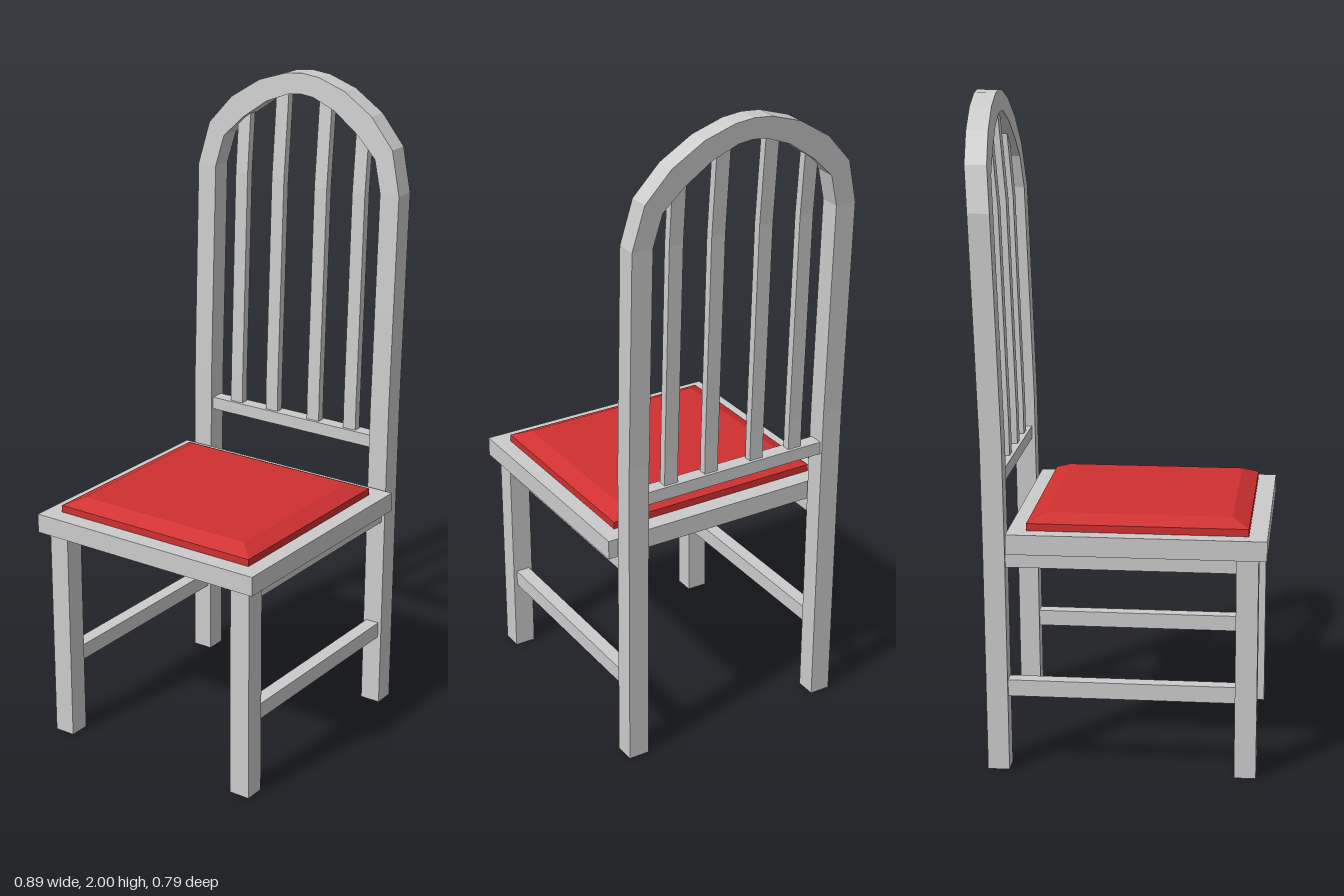
import * as THREE from 'three';

const grey = new THREE.MeshStandardMaterial({ color: 0xcccccc, flatShading: true });
const red = new THREE.MeshStandardMaterial({ color: 0xd03030, flatShading: true });

// backward lean of the backrest: centre x at height y
const LEAN = [[0, 0.347], [0.68, 0.354], [1, 0.359], [1.3, 0.37], [1.66, 0.383], [2, 0.412]];
function lean(y) {
  let i = 0;
  while (i < LEAN.length - 2 && y > LEAN[i + 1][0]) i++;
  const [y0, x0] = LEAN[i], [y1, x1] = LEAN[i + 1];
  return x0 + (x1 - x0) * (y - y0) / (y1 - y0);
}

// skin over four-cornered sections, closed at both ends
function loft(rings) {
  const pos = [];
  const quad = (a, b, c, d) => pos.push(...a, ...b, ...c, ...a, ...c, ...d);
  for (let k = 0; k < rings.length - 1; k++) {
    const a = rings[k], b = rings[k + 1];
    for (let i = 0; i < 4; i++) {
      const j = (i + 1) % 4;
      quad(a[i], a[j], b[j], b[i]);
    }
  }
  const s = rings[0], e = rings[rings.length - 1];
  quad(s[3], s[2], s[1], s[0]);
  quad(e[0], e[1], e[2], e[3]);
  const g = new THREE.BufferGeometry();
  g.setAttribute('position', new THREE.Float32BufferAttribute(pos, 3));
  g.computeVertexNormals();
  return g;
}

export function createModel() {
  const chair = new THREE.Group();
  const add = (name, geometry, material = grey) => {
    const m = new THREE.Mesh(geometry, material);
    m.name = name;
    chair.add(m);
  };
  const box = (name, x0, x1, y0, y1, z0, z1) => add(name,
    new THREE.BoxGeometry(x1 - x0, y1 - y0, z1 - z0)
      .translate((x0 + x1) / 2, (y0 + y1) / 2, (z0 + z1) / 2));

  // seat board
  box('seat', -0.45, 0.315, 0.68, 0.74, -0.396, 0.396);

  // cushion with bevelled top
  const level = (y, inset) => {
    const x0 = -0.395 + inset, x1 = 0.26 - inset, z = 0.346 - inset;
    return [[x0, y, z], [x1, y, z], [x1, y, -z], [x0, y, -z]];
  };
  add('cushion', loft([level(0.735, 0), level(0.762, 0), level(0.785, 0.05)]), red);

  // front legs, seat rails and stretchers on both sides
  for (const s of [-1, 1]) {
    const side = s > 0 ? 'left' : 'right', z = s * 0.336;
    box(side + 'FrontLeg', -0.425, -0.36, 0, 0.68, z - 0.033, z + 0.033);
    box(side + 'SeatRail', -0.37, 0.33, 0.63, 0.68, z - 0.022, z + 0.022);
    box(side + 'Stretcher', -0.37, 0.33, 0.23, 0.28, z - 0.022, z + 0.022);
  }

  // rear legs and arched top in one bent frame: [outer z, outer y, inner z, inner y]
  const half = [0, 0.68, 1, 1.3].map(y => [0.369, y, 0.303, y]);
  half.push([0.369, 1.676, 0.303, 1.676], [0.335, 1.81, 0.277, 1.775], [0.255, 1.9, 0.21, 1.84],
    [0.155, 1.963, 0.125, 1.9], [0.06, 1.994, 0.045, 1.932]);
  const stations = [...half, [0, 2, 0, 1.937],
    ...half.slice().reverse().map(([a, b, c, d]) => [-a, b, -c, d])];
  const t = 0.0325;
  add('backFrame', loft(stations.map(([zo, yo, zi, yi]) => [
    [lean(yo) - t, yo, zo], [lean(yo) + t, yo, zo],
    [lean(yi) + t, yi, zi], [lean(yi) - t, yi, zi]])));

  // lower back rail
  box('backRail', 0.335, 0.38, 0.865, 0.905, -0.31, 0.31);

  // upright slats following the lean
  for (const [z, top] of [[-0.216, 1.86], [-0.079, 1.94], [0.079, 1.94], [0.216, 1.86]]) {
    const h = 0.0225, d = 0.0125;
    add('backSlat', loft([0.89, 1, 1.3, 1.66, top].map(y => {
      const x = lean(y);
      return [[x - d, y, z + h], [x + d, y, z + h], [x + d, y, z - h], [x - d, y, z - h]];
    })));
  }
  return chair;
}
